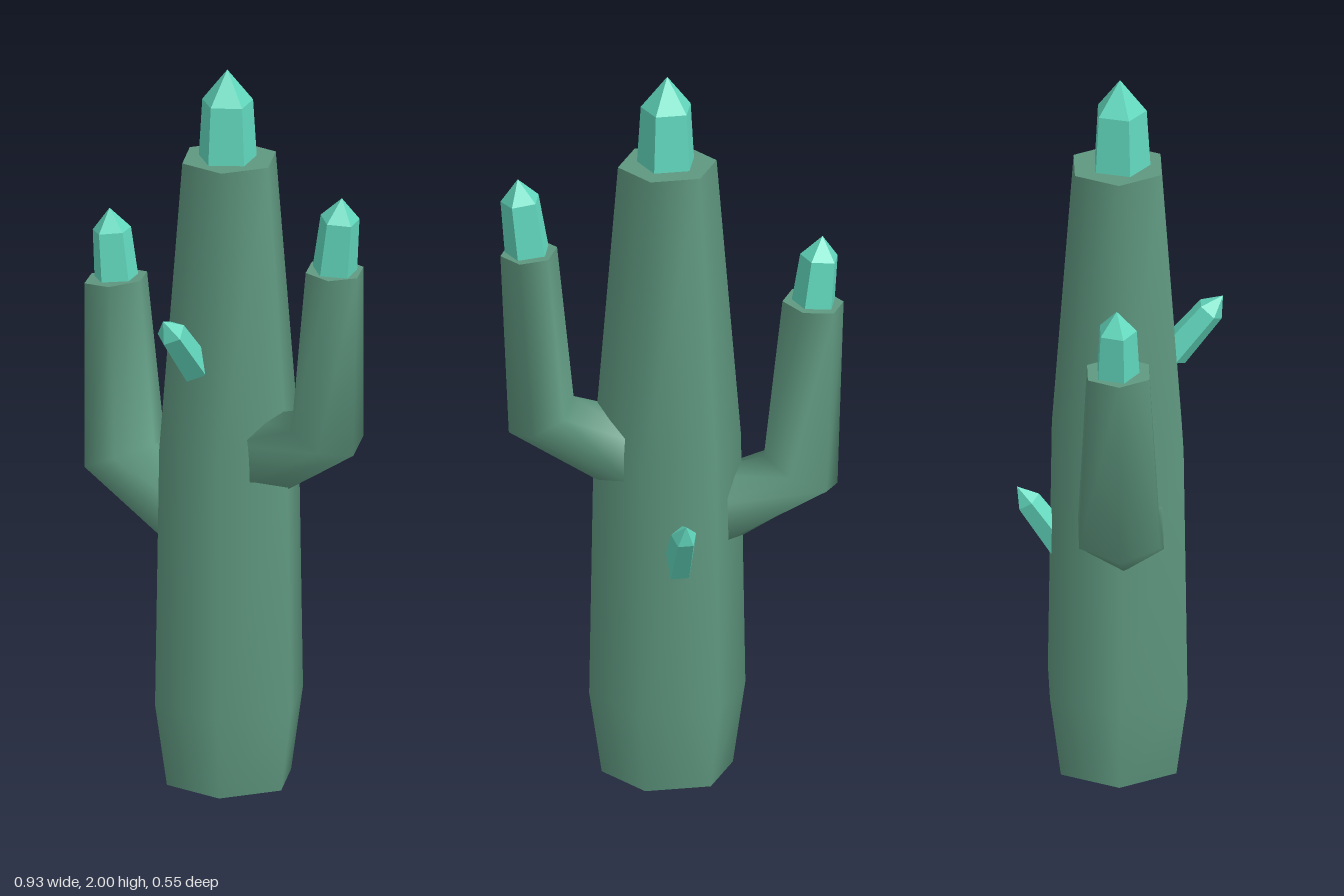
import * as THREE from 'three';

const cactusGreen = new THREE.MeshStandardMaterial({ color: 0x5f9880 });
cactusGreen.name = 'cactusGreen';
const crystalTeal = new THREE.MeshStandardMaterial({ color: 0x62d9be });
crystalTeal.name = 'crystalTeal';

const SIDES = 6;

// Six-sided stem through rings { c: centre, u: in-plane axis in xy, w: half width along z }
function stem(name, rings) {
  const positions = [], index = [];
  const points = rings.map(({ c, u, w }) => Array.from({ length: SIDES }, (_, k) => {
    const a = (k / SIDES) * Math.PI * 2;
    return [c[0] + u[0] * Math.cos(a), c[1] + u[1] * Math.cos(a), c[2] + w * Math.sin(a)];
  }));
  // Smooth sides
  points.forEach((ring) => ring.forEach((p) => positions.push(...p)));
  for (let r = 0; r < rings.length - 1; r++) {
    for (let k = 0; k < SIDES; k++) {
      const a = r * SIDES + k, b = r * SIDES + (k + 1) % SIDES;
      index.push(a, a + SIDES, b, b, a + SIDES, b + SIDES);
    }
  }
  // Flat end caps with their own corners
  const addCap = (ring, top) => {
    const start = positions.length / 3;
    ring.forEach((p) => positions.push(...p));
    for (let k = 1; k < SIDES - 1; k++) {
      if (top) index.push(start, start + k + 1, start + k);
      else index.push(start, start + k, start + k + 1);
    }
  };
  addCap(points[0], false);
  addCap(points[points.length - 1], true);

  const geometry = new THREE.BufferGeometry();
  geometry.setAttribute('position', new THREE.Float32BufferAttribute(positions, 3));
  geometry.setIndex(index);
  geometry.computeVertexNormals();
  const mesh = new THREE.Mesh(geometry, cactusGreen);
  mesh.name = name;
  return mesh;
}

// Faceted five-sided crystal from a base point to its tip
function crystal(name, base, tip, radius, shoulder, taper) {
  const from = new THREE.Vector3(...base);
  const axis = new THREE.Vector3(...tip).sub(from);
  const length = axis.length();
  const profile = [[0, 0], [radius, 0], [radius * taper, length * shoulder], [0, length]];
  const geometry = new THREE.LatheGeometry(
    profile.map(([x, y]) => new THREE.Vector2(x, y)), 5).toNonIndexed();
  geometry.computeVertexNormals();
  const mesh = new THREE.Mesh(geometry, crystalTeal);
  mesh.name = name;
  mesh.position.copy(from);
  mesh.quaternion.setFromUnitVectors(new THREE.Vector3(0, 1, 0), axis.normalize());
  return mesh;
}

export function createModel() {
  const model = new THREE.Group();
  model.name = 'crystalCactus';

  // Trunk: [height, radius]
  const trunk = [[0, 0.178], [0.23, 0.212], [0.95, 0.2], [1.75, 0.134]];
  model.add(stem('trunk', trunk.map(([y, r]) => ({ c: [0.011, y, -0.006], u: [r, 0], w: r }))));

  // Bent arms: base inside the trunk, elbow, top
  model.add(stem('leftArm', [
    { c: [0.1, 0.925, -0.015], u: [0.055, -0.105], w: 0.118 },
    { c: [0.352, 1.047, 0], u: [0.088, -0.045], w: 0.115 },
    { c: [0.384, 1.518, 0.01], u: [0.077, -0.007], w: 0.087 },
  ]));
  model.add(stem('rightArm', [
    { c: [-0.1, 0.735, 0.005], u: [-0.055, -0.105], w: -0.125 },
    { c: [-0.35, 0.837, -0.012], u: [-0.1, -0.047], w: -0.125 },
    { c: [-0.383, 1.323, -0.015], u: [-0.083, -0.007], w: -0.095 },
  ]));

  // Crystals on the tips and growing from the trunk
  model.add(
    crystal('topCrystal', [0.01, 1.74, 0], [0.01, 2, 0], 0.082, 0.65, 0.87),
    crystal('leftArmCrystal', [0.385, 1.51, 0.012], [0.413, 1.728, 0.015], 0.063, 0.72, 0.87),
    crystal('rightArmCrystal', [-0.385, 1.312, -0.02], [-0.408, 1.513, -0.02], 0.062, 0.7, 0.87),
    crystal('frontCrystal', [0.01, 1.195, 0.137], [0.01, 1.363, 0.275], 0.047, 0.75, 0.85),
    crystal('backCrystal', [0.01, 0.64, -0.157], [0.01, 0.808, -0.275], 0.042, 0.75, 0.85),
  );
  return model;
}
